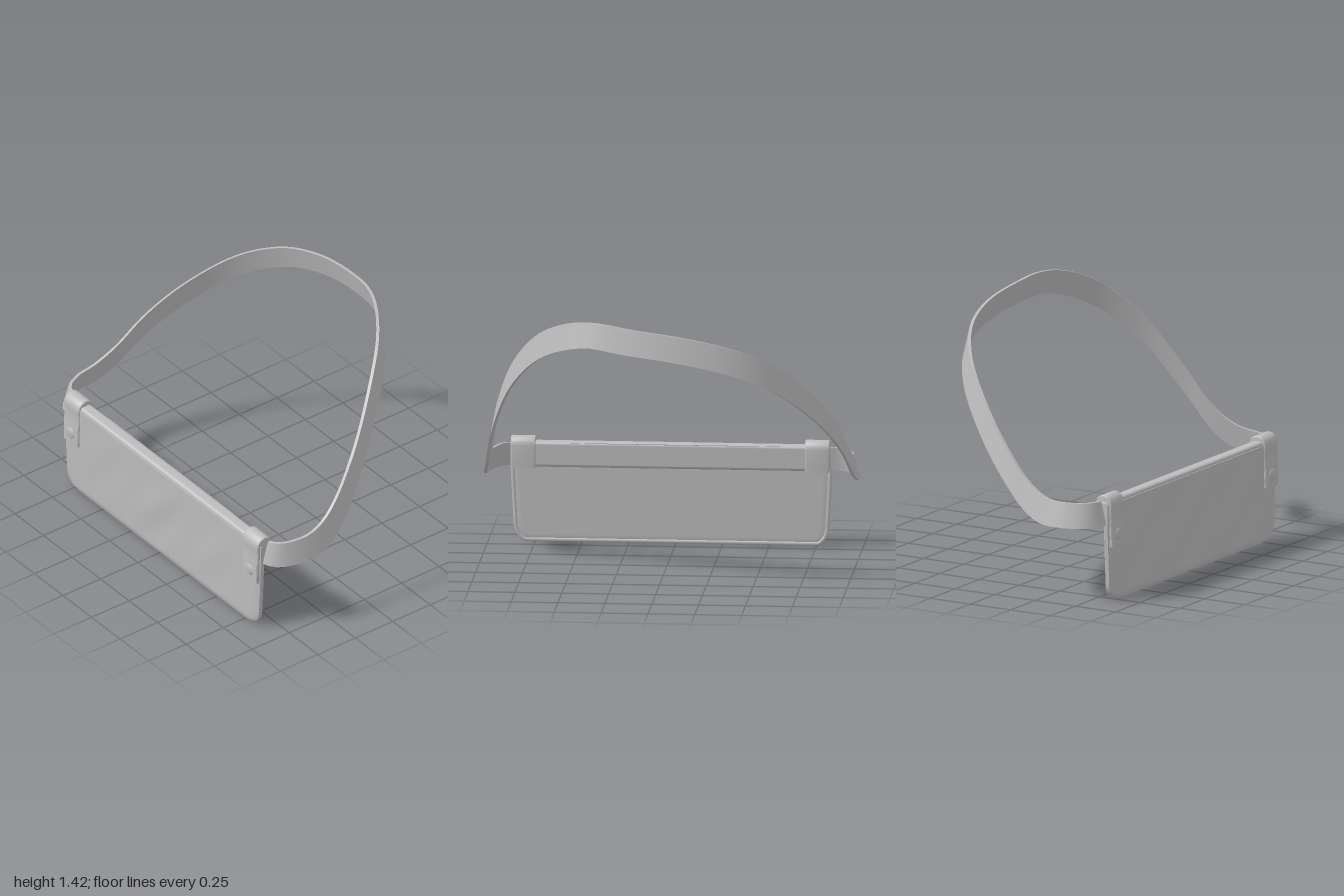
import * as THREE from 'three';
import { toCreasedNormals, mergeVertices } from 'three/addons/utils/BufferGeometryUtils.js';
import { RoundedBoxGeometry } from 'three/addons/geometries/RoundedBoxGeometry.js';

// Skin a list of equal-length rings; either closed into a loop or capped at both ends.
function loft(rings, closed, crease) {
  const n = rings[0].length, m = rings.length;
  const points = rings.flat();
  const faces = [];
  for (let i = 0; i < (closed ? m : m - 1); i++) {
    for (let j = 0; j < n; j++) {
      const a = i * n + j, b = i * n + (j + 1) % n;
      const k = (i + 1) % m;
      const c = k * n + (j + 1) % n, d = k * n + j;
      faces.push(a, b, c, a, c, d);
    }
  }
  if (!closed) {
    // ring caps run across the section, pairing opposite sides
    const cap = (o, flip) => {
      for (let j = 0; j < n / 2 - 1; j++) {
        const a = o + j, b = o + j + 1, c = o + n - 2 - j, d = o + n - 1 - j;
        if (flip) faces.push(a, b, c, a, c, d);
        else faces.push(a, c, b, a, d, c);
      }
    };
    cap(0, false);
    cap((m - 1) * n, true);
  }
  // turn every face outward
  let volume = 0;
  const cross = new THREE.Vector3();
  for (let i = 0; i < faces.length; i += 3) {
    volume += points[faces[i]].dot(cross.crossVectors(points[faces[i + 1]], points[faces[i + 2]]));
  }
  if (volume < 0) faces.reverse();
  const g = new THREE.BufferGeometry().setFromPoints(points);
  g.setIndex(faces);
  return toCreasedNormals(mergeVertices(g), crease);
}

// Upright band following a closed loop, its top edge leaning inward
function strapGeometry() {
  const path = new THREE.CatmullRomCurve3([
    [0.5, 0.48, 0.562], [0.84, 0.48, 0.565], [0.925, 0.48, 0.53], [0.968, 0.48, 0.42],
    [0.976, 0.495, 0.3], [0.96, 0.565, 0.18], [0.912, 0.8, 0], [0.8, 1.08, -0.2],
    [0.62, 1.28, -0.4], [0.4, 1.355, -0.53], [0.15, 1.33, -0.588], [-0.15, 1.285, -0.588],
    [-0.4, 1.215, -0.53], [-0.62, 1.095, -0.4], [-0.8, 0.91, -0.2], [-0.912, 0.72, 0],
    [-0.96, 0.55, 0.18], [-0.976, 0.49, 0.3], [-0.968, 0.48, 0.42], [-0.91, 0.48, 0.53],
    [-0.82, 0.48, 0.565], [-0.5, 0.48, 0.562],
  ].map((p) => new THREE.Vector3(...p)), true);
  const rings = [];
  const steps = 160;
  for (let i = 0; i < steps; i++) {
    const p = path.getPointAt(i / steps), t = path.getTangentAt(i / steps);
    const inward = new THREE.Vector3(t.z, 0, -t.x).normalize();
    if (inward.x * p.x + inward.z * p.z > 0) inward.negate();
    const half = 0.065 + 0.018 * Math.abs(t.y);
    const corner = (side, up) => p.clone()
      .addScaledVector(inward, side * 0.008 + up * 0.016)
      .add(new THREE.Vector3(0, up * half, 0));
    rings.push([corner(-1, -1), corner(-1, 1), corner(1, 1), corner(1, -1)]);
  }
  return loft(rings, true, 0.7);
}

// Outline of the panel: left and right edge at height y
const RADIUS = 0.09;
function edges(y) {
  const d = Math.max(0, RADIUS - y);
  const inset = RADIUS - Math.sqrt(Math.max(0, RADIUS * RADIUS - d * d));
  const flare = 0.022 * Math.min(1, y / 0.4);
  return [-0.813 - flare + inset, 0.86 + flare - inset];
}

// Soft fabric sheet with shallow diagonal folds on the front
function panelGeometry() {
  const ys = [0, 0.004, 0.012, 0.024, 0.042, 0.065, 0.09];
  for (let i = 1; i <= 20; i++) ys.push(0.09 + 0.44 * i / 20);
  const n = 64;
  const rings = ys.map((y) => {
    const [l, r] = edges(y);
    const front = [], back = [];
    for (let i = 0; i <= n; i++) {
      const s = i / n;
      const x = l + (r - l) * s;
      const fade = Math.sin(Math.PI * s) * Math.sin(Math.PI * Math.min(1, y / 0.53));
      const fold = 0.003 * Math.sin(11 * x - 13 * y) + 0.002 * Math.sin(23 * x - 17 * y + 1);
      const thick = 0.016 * (i === 0 || i === n ? 0.4 : 1) * Math.min(1, 0.45 + y * 25);
      front.push(new THREE.Vector3(x, y, 0.594 + thick + fold * fade));
      back.push(new THREE.Vector3(x, y, 0.594 - thick));
    }
    return [...front, ...back.reverse()];
  });
  return loft(rings, false, 0.9);
}

// Raised hem around the sides and bottom of the panel's back
function hemGeometry() {
  const pts = [];
  const heights = [0.42, 0.3, 0.2, 0.12, 0.09, 0.06, 0.04, 0.025, 0.014];
  for (const y of heights) pts.push(new THREE.Vector3(edges(y)[0] + 0.012, y, 0.583));
  for (let i = 0; i <= 8; i++) pts.push(new THREE.Vector3(-0.7 + 1.45 * i / 8, 0.012, 0.583));
  for (const y of [...heights].reverse()) pts.push(new THREE.Vector3(edges(y)[1] - 0.012, y, 0.583));
  return new THREE.TubeGeometry(new THREE.CatmullRomCurve3(pts), 120, 0.011, 8);
}

// Folded tab hooked over the top edge, profile drawn from the side
function tabGeometry(width) {
  const s = new THREE.Shape();
  s.moveTo(-0.616, 0.3);
  s.lineTo(-0.616, 0.4);
  s.quadraticCurveTo(-0.607, 0.45, -0.612, 0.52);
  s.bezierCurveTo(-0.612, 0.588, -0.526, 0.588, -0.526, 0.53);
  s.lineTo(-0.529, 0.415);
  s.lineTo(-0.596, 0.41);
  s.lineTo(-0.598, 0.3);
  s.closePath();
  const b = 0.006;
  const g = new THREE.ExtrudeGeometry(s, {
    depth: width - 2 * b, bevelThickness: b, bevelSize: b, bevelSegments: 3, curveSegments: 12,
  });
  g.rotateY(Math.PI / 2).translate(b - width / 2, 0, 0);
  // narrow the lower part of the tab
  const p = g.attributes.position;
  for (let i = 0; i < p.count; i++) if (p.getY(i) < 0.41) p.setX(i, p.getX(i) * 0.93);
  return toCreasedNormals(g, 0.7);
}

export function createModel() {
  const model = new THREE.Group();
  model.name = 'strappedPouch';
  const fabric = new THREE.MeshStandardMaterial({ color: 0xbcbcbc });
  fabric.name = 'greyFabric';
  const add = (name, geometry, parent = model) => {
    const mesh = new THREE.Mesh(geometry, fabric);
    mesh.name = name;
    parent.add(mesh);
    return mesh;
  };

  add('strap', strapGeometry());
  add('panel', panelGeometry());
  add('backHem', hemGeometry());

  // Top sleeve wrapped around the strap
  add('topSleeve', new RoundedBoxGeometry(1.7, 0.138, 0.07, 4, 0.018)).position.set(0.024, 0.481, 0.57);

  // Fastening tabs with domed snaps
  for (const [name, x] of [['rightFastener', -0.758], ['leftFastener', 0.81]]) {
    const fastener = new THREE.Group();
    fastener.name = name;
    fastener.position.x = x;
    add('tab', tabGeometry(0.132), fastener);
    const snap = add('snap', new THREE.SphereGeometry(0.034, 20, 12), fastener);
    snap.scale.z = 0.3;
    snap.position.set(0, 0.36, 0.62);
    model.add(fastener);
  }
  return model;
}
